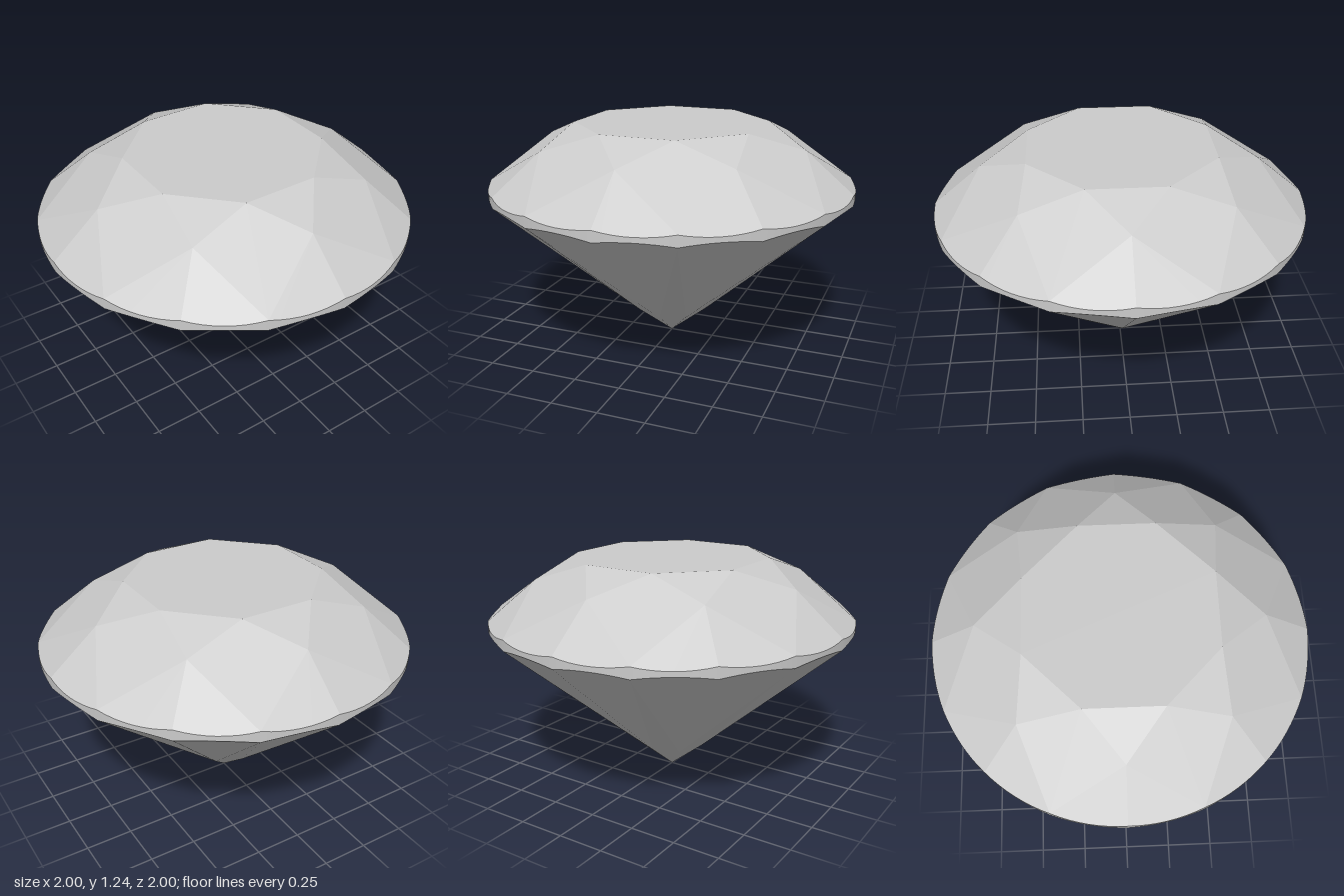
import * as THREE from 'three';

const STEP = Math.PI / 8;       // sixteen girdle divisions
const SUB = 8;                  // curve samples per girdle division
const TABLE = { r: 0.53, y: 1.24 };
const STAR = { r: 0.742, y: 1.134 };
const LOWER = { r: 0.2, y: 0.159 };
const GIRDLE_TOP = 0.92, GIRDLE_BOTTOM = 0.86;

// Point at an angle counted in girdle divisions, starting from the front
const at = (i, r, y) => new THREE.Vector3(r * Math.sin(i * STEP), y, r * Math.cos(i * STEP));
const ring = (i, level) => at(i, level.r, level.y);

// Scalloped edge: where a flat facet from the given tip cuts the round girdle
function scallop(t, tip, edgeY) {
  const c = Math.cos(STEP / 2);
  const slope = (edgeY - tip.y) / (c * (1 - tip.r));
  return edgeY + slope * (Math.cos((t - 0.5) * STEP) - c);
}

function edge(i, tip, edgeY) {
  const points = [];
  for (let k = 0; k <= SUB; k++) points.push(at(i + k / SUB, 1, scallop(k / SUB, tip, edgeY)));
  return points;
}

// Joins flat polygons (counter-clockwise from outside) into one mesh
function facets(name, polygons, material) {
  const points = [];
  for (const p of polygons)
    for (let k = 1; k < p.length - 1; k++) points.push(p[0], p[k], p[k + 1]);
  const geometry = new THREE.BufferGeometry().setFromPoints(points);
  geometry.computeVertexNormals();
  const mesh = new THREE.Mesh(geometry, material);
  mesh.name = name;
  return mesh;
}

// Thin round band between the two scalloped edges
function girdleBand(material) {
  const positions = [], normals = [], index = [];
  for (let n = 0; n <= 16 * SUB; n++) {
    const i = n / SUB, t = i % 1, normal = at(i, 1, 0);
    positions.push(...at(i, 1, scallop(t, LOWER, GIRDLE_BOTTOM)), ...at(i, 1, scallop(t, STAR, GIRDLE_TOP)));
    normals.push(...normal, ...normal);
    if (n < 16 * SUB) index.push(2 * n, 2 * n + 2, 2 * n + 1, 2 * n + 1, 2 * n + 2, 2 * n + 3);
  }
  const geometry = new THREE.BufferGeometry();
  geometry.setAttribute('position', new THREE.Float32BufferAttribute(positions, 3));
  geometry.setAttribute('normal', new THREE.Float32BufferAttribute(normals, 3));
  geometry.setIndex(index);
  const mesh = new THREE.Mesh(geometry, material);
  mesh.name = 'girdle';
  return mesh;
}

export function createModel() {
  const flat = new THREE.MeshStandardMaterial({ color: 0xcccccc, flatShading: true });
  const smooth = new THREE.MeshStandardMaterial({ color: 0xcccccc });
  const culet = new THREE.Vector3(0, 0, 0);
  const table = [], stars = [], kites = [], upperHalves = [], lowerHalves = [], mains = [];

  for (let i = 0; i < 16; i += 2) {
    const j = i + 1;
    table.push(ring(j, TABLE));
    stars.push([ring(i - 1, TABLE), ring(i, STAR), ring(j, TABLE)]);
    kites.push([ring(j, TABLE), ring(i, STAR), at(j, 1, GIRDLE_TOP), ring(i + 2, STAR)]);
    mains.push([at(j, 1, GIRDLE_BOTTOM), ring(i, LOWER), culet, ring(i + 2, LOWER)]);
    // A pair of half facets on either side of each star tip
    for (const start of [i - 1, i]) {
      upperHalves.push([ring(i, STAR), ...edge(start, STAR, GIRDLE_TOP)]);
      lowerHalves.push([ring(i, LOWER), ...edge(start, LOWER, GIRDLE_BOTTOM).reverse()]);
    }
  }

  const crown = new THREE.Group();
  crown.name = 'crown';
  crown.add(
    facets('table', [table], flat),
    facets('starFacets', stars, flat),
    facets('kiteFacets', kites, flat),
    facets('upperHalfFacets', upperHalves, flat),
  );

  const pavilion = new THREE.Group();
  pavilion.name = 'pavilion';
  pavilion.add(facets('lowerHalfFacets', lowerHalves, flat), facets('mainFacets', mains, flat));

  const gem = new THREE.Group();
  gem.name = 'cutGem';
  gem.add(crown, girdleBand(smooth), pavilion);
  return gem;
}
